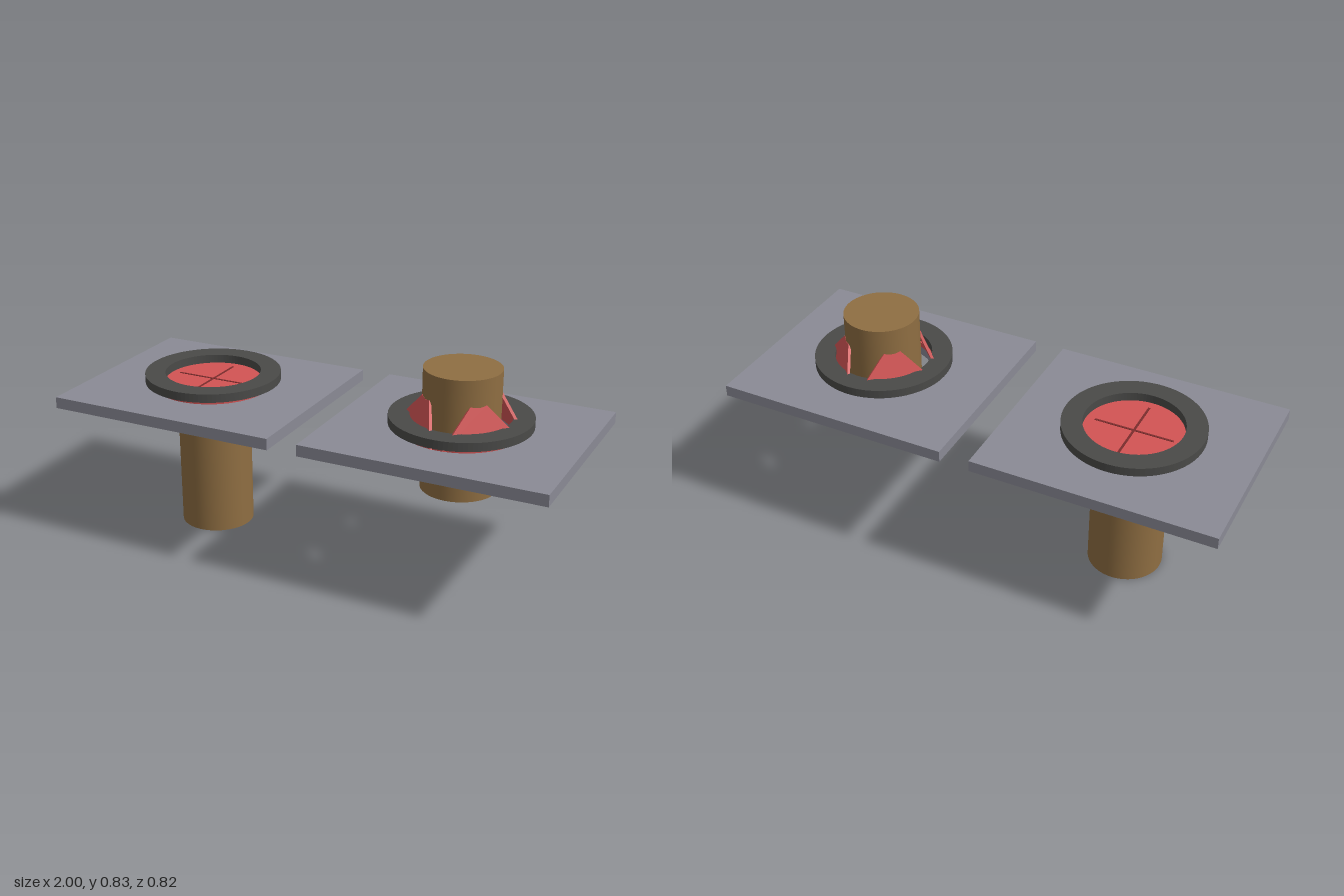
import * as THREE from 'three';

const mat = (name, color) => Object.assign(new THREE.MeshStandardMaterial({ color }), { name });

export function createModel() {
  const grey = mat('plate grey', 0x8a8a95);
  const dark = mat('ring charcoal', 0x4a4a48);
  const red = mat('membrane red', 0xd25454);
  const slitRed = mat('slit dark red', 0x7a2c2c);
  const brown = mat('pipe brown', 0x8f6e42);
  const root = new THREE.Group();

  const add = (parent, name, geometry, material, y = 0) => {
    const mesh = new THREE.Mesh(geometry, material);
    mesh.name = name;
    mesh.position.y = y;
    parent.add(mesh);
    return mesh;
  };

  // Flat slab lying on its base at y = 0, with a round hole
  const holed = (shape, hole, height) => {
    shape.holes.push(new THREE.Path().absarc(0, 0, hole, 0, Math.PI * 2, true));
    return new THREE.ExtrudeGeometry(shape, { depth: height, bevelEnabled: false, curveSegments: 48 })
      .rotateX(-Math.PI / 2);
  };
  const disc = (r) => new THREE.Shape().absarc(0, 0, r, 0, Math.PI * 2, false);
  const rect = (w, d) => new THREE.Shape([
    new THREE.Vector2(-w, -d), new THREE.Vector2(w, -d),
    new THREE.Vector2(w, d), new THREE.Vector2(-w, d)]);

  // Mounting plate, clamp ring and pipe shared by both states
  const station = (name, x, pipeBase) => {
    const g = new THREE.Group();
    g.name = name;
    g.position.x = x;
    root.add(g);
    add(g, 'plate', holed(rect(0.47, 0.41), 0.19, 0.045), grey, 0.543);
    add(g, 'clampRing', holed(disc(0.27), 0.19, 0.034), dark, 0.608);
    add(g, 'pipe', new THREE.CylinderGeometry(0.146, 0.146, 0.472, 64), brown, pipeBase + 0.236);
    return g;
  };

  // Closed membrane with a cross of slits on both faces
  const closed = station('closedSeal', -0.53, 0);
  add(closed, 'membrane', new THREE.CylinderGeometry(0.235, 0.235, 0.02, 64), red, 0.598);
  for (const y of [0.6085, 0.5875]) {
    add(closed, 'slitAcross', new THREE.BoxGeometry(0.31, 0.002, 0.009), slitRed, y);
    add(closed, 'slitAlong', new THREE.BoxGeometry(0.009, 0.0018, 0.31), slitRed, y);
  }

  // Open membrane: rim plus four flaps leaning on the pipe
  const open = station('openSeal', 0.53, 0.354);
  add(open, 'membraneRim', holed(disc(0.235), 0.182, 0.02), red, 0.588);
  const flap = new THREE.Shape();
  flap.moveTo(-0.156, 0);
  flap.lineTo(0.156, 0);
  flap.lineTo(0.032, 0.143);
  flap.quadraticCurveTo(0, 0.13, -0.032, 0.143);
  flap.closePath();
  const flapGeometry = new THREE.ExtrudeGeometry(flap, { depth: 0.011, bevelEnabled: false, curveSegments: 8 })
    .translate(0, 0, -0.011)
    .rotateX(-0.324)
    .translate(0, 0, 0.19);
  for (let i = 0; i < 4; i++) {
    add(open, 'flap', flapGeometry, red, 0.592).rotation.y = Math.PI / 4 + i * Math.PI / 2;
  }
  return root;
}
